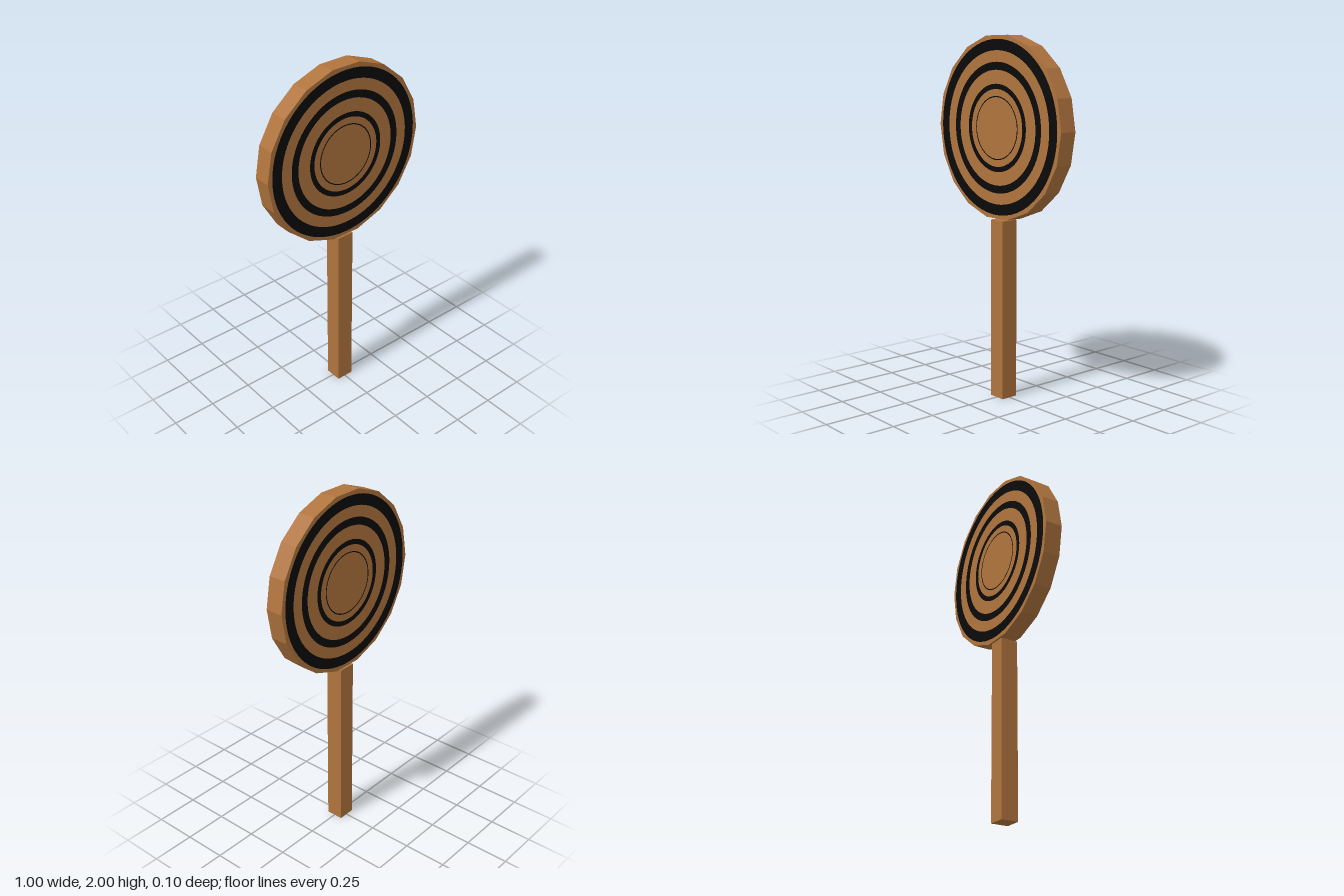
import * as THREE from 'three';

export function createModel() {
  const wood = new THREE.MeshStandardMaterial({ color: 0xb0743e });
  wood.name = 'wood brown';
  const black = new THREE.MeshStandardMaterial({ color: 0x0a0a0a });
  black.name = 'black paint';

  const group = new THREE.Group();
  group.name = 'targetOnPost';
  const add = (parent, name, geometry, material) => {
    const mesh = new THREE.Mesh(geometry, material);
    mesh.name = name;
    parent.add(mesh);
    return mesh;
  };

  // Square post
  add(group, 'post', new THREE.BoxGeometry(0.1, 1.005, 0.1), wood).position.y = 0.5025;

  // Eighteen-sided board with corners at its left and right ends
  const target = new THREE.Group();
  target.name = 'target';
  target.position.y = 1.508;
  group.add(target);
  const board = new THREE.CylinderGeometry(0.5, 0.5, 0.1, 18, 1, false, Math.PI / 2)
    .rotateX(Math.PI / 2)
    .toNonIndexed();
  board.computeVertexNormals(); // flat facets
  add(target, 'board', board, wood);

  // Painted rings on both faces, [inner, outer] radius
  const rings = [[0.414, 0.473], [0.311, 0.353], [0.209, 0.237], [0.166, 0.172]];
  for (const side of ['front', 'back']) {
    const face = new THREE.Group();
    face.name = side + 'Rings';
    if (side === 'back') face.rotation.y = Math.PI;
    target.add(face);
    rings.forEach(([inner, outer], i) => {
      add(face, 'ring' + (i + 1), new THREE.RingGeometry(inner, outer, 72), black).position.z = 0.0515;
    });
  }
  return group;
}
